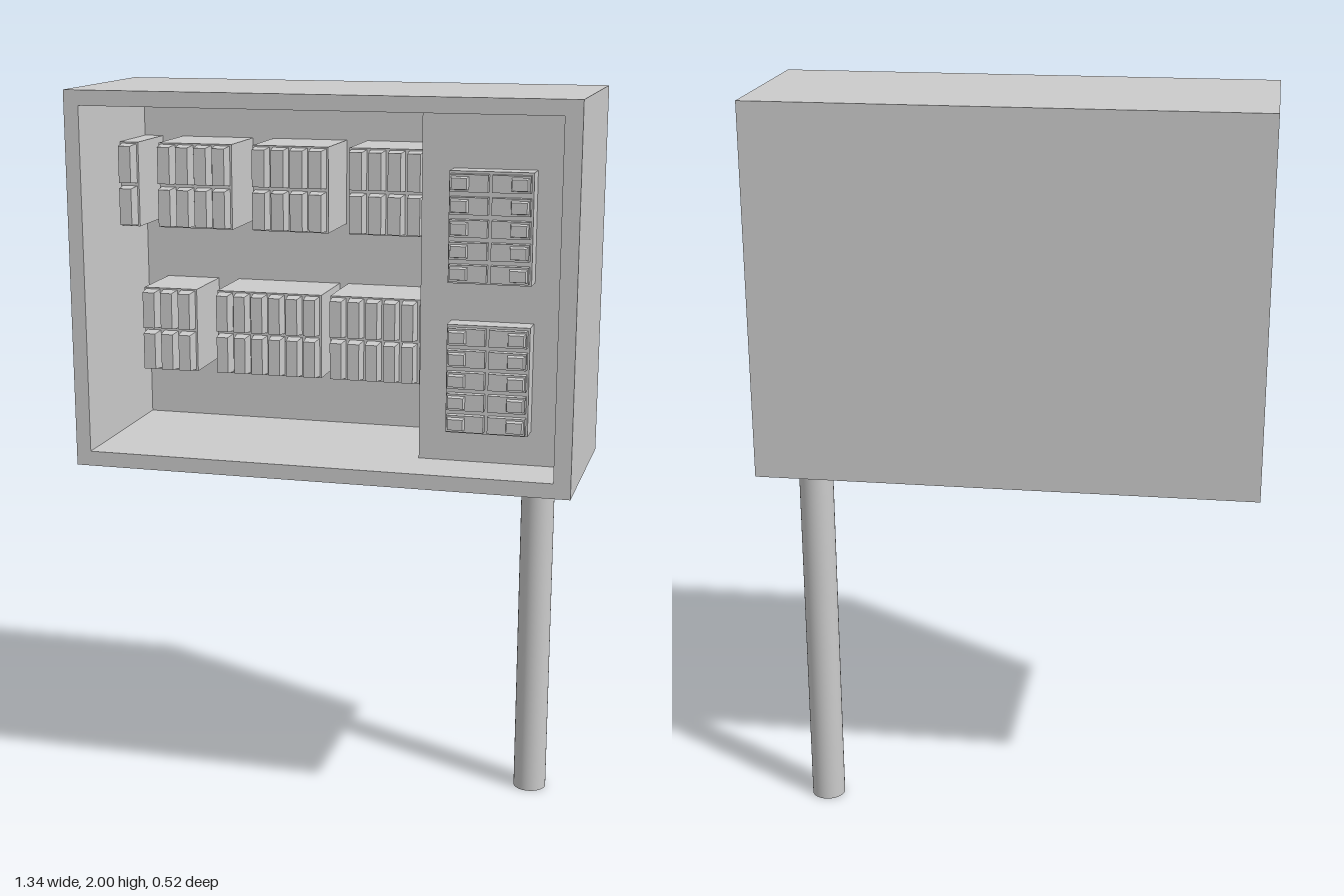
import * as THREE from 'three';

const material = new THREE.MeshStandardMaterial({ color: 0xcccccc });

function add(parent, name, geometry, x = 0, y = 0, z = 0) {
  const mesh = new THREE.Mesh(geometry, material);
  mesh.name = name;
  mesh.position.set(x, y, z);
  parent.add(mesh);
  return mesh;
}

// Box given by its limits on each axis
function block(parent, name, [x0, x1], [y0, y1], [z0, z1]) {
  return add(parent, name, new THREE.BoxGeometry(x1 - x0, y1 - y0, z1 - z0),
    (x0 + x1) / 2, (y0 + y1) / 2, (z0 + z1) / 2);
}

// Box whose front face is narrowed by a bevel
function taperedBox(w, h, d, inset) {
  const g = new THREE.BoxGeometry(w, h, d);
  const p = g.attributes.position;
  for (let i = 0; i < p.count; i++) {
    if (p.getZ(i) > 0) {
      p.setX(i, p.getX(i) - Math.sign(p.getX(i)) * inset);
      p.setY(i, p.getY(i) - Math.sign(p.getY(i)) * inset);
    }
  }
  g.computeVertexNormals();
  return g;
}

// Deep module with two rows of upright switches
function switchModule(x0, x1, y0, columns) {
  const group = new THREE.Group();
  group.name = 'switchModule';
  const height = 0.23, pitch = (x1 - x0) / columns;
  block(group, 'moduleBody', [x0, x1], [y0, y0 + height], [-0.222, -0.025]);
  const cell = taperedBox(pitch - 0.01, 0.107, 0.04, 0.004);
  for (let c = 0; c < columns; c++) {
    for (let r = 0; r < 2; r++) {
      add(group, 'moduleSwitch', cell, x0 + (c + 0.5) * pitch, y0 + height * (0.25 + r * 0.5), -0.005);
    }
  }
  return group;
}

// Block of ten breakers, two columns of five, with a toggle at the outer end of each
function breakerBank(y0) {
  const group = new THREE.Group();
  group.name = 'breakerBank';
  const xc = 0.433, height = 0.286, pitch = height / 5;
  block(group, 'breakerBase', [xc - 0.108, xc + 0.108], [y0, y0 + height], [0.1, 0.16]);
  const body = new THREE.BoxGeometry(0.098, 0.044, 0.02);
  const toggle = taperedBox(0.046, 0.034, 0.015, 0.003);
  for (let r = 0; r < 5; r++) {
    const y = y0 + (r + 0.5) * pitch;
    for (const s of [-1, 1]) {
      add(group, 'breaker', body, xc + s * 0.054, y, 0.17);
      add(group, 'breakerToggle', toggle, xc + s * 0.077, y, 0.187);
    }
  }
  return group;
}

export function createModel() {
  const model = new THREE.Group();
  model.name = 'electricalCabinet';

  // Open-fronted case
  const frame = new THREE.Shape([[-0.67, 1], [0.67, 1], [0.67, 2], [-0.67, 2]]
    .map(([x, y]) => new THREE.Vector2(x, y)));
  frame.holes.push(new THREE.Path([[-0.63, 1.04], [-0.63, 1.96], [0.625, 1.96], [0.625, 1.04]]
    .map(([x, y]) => new THREE.Vector2(x, y))));
  add(model, 'caseWalls', new THREE.ExtrudeGeometry(frame, { depth: 0.48, bevelEnabled: false }), 0, 0, -0.222);
  block(model, 'caseBack', [-0.67, 0.67], [1, 2], [-0.258, -0.222]);

  // Raised mounting panel with the breakers
  block(model, 'breakerPanel', [0.242, 0.619], [1.04, 1.96], [-0.222, 0.1]);
  for (const y of [1.132, 1.525]) model.add(breakerBank(y));

  // Switch modules on the back wall: left, right, bottom, columns
  const modules = [
    [-0.629, -0.577, 1.612, 1], [-0.517, -0.31, 1.612, 4],
    [-0.25, -0.04, 1.612, 4], [0.018, 0.228, 1.612, 4],
    [-0.57, -0.417, 1.213, 3], [-0.357, -0.06, 1.213, 6], [-0.035, 0.262, 1.213, 6],
  ];
  for (const m of modules) model.add(switchModule(...m));

  // Conduit down to the ground
  add(model, 'conduit', new THREE.CylinderGeometry(0.046, 0.046, 1, 32), 0.525, 0.5, -0.172);

  return model;
}
